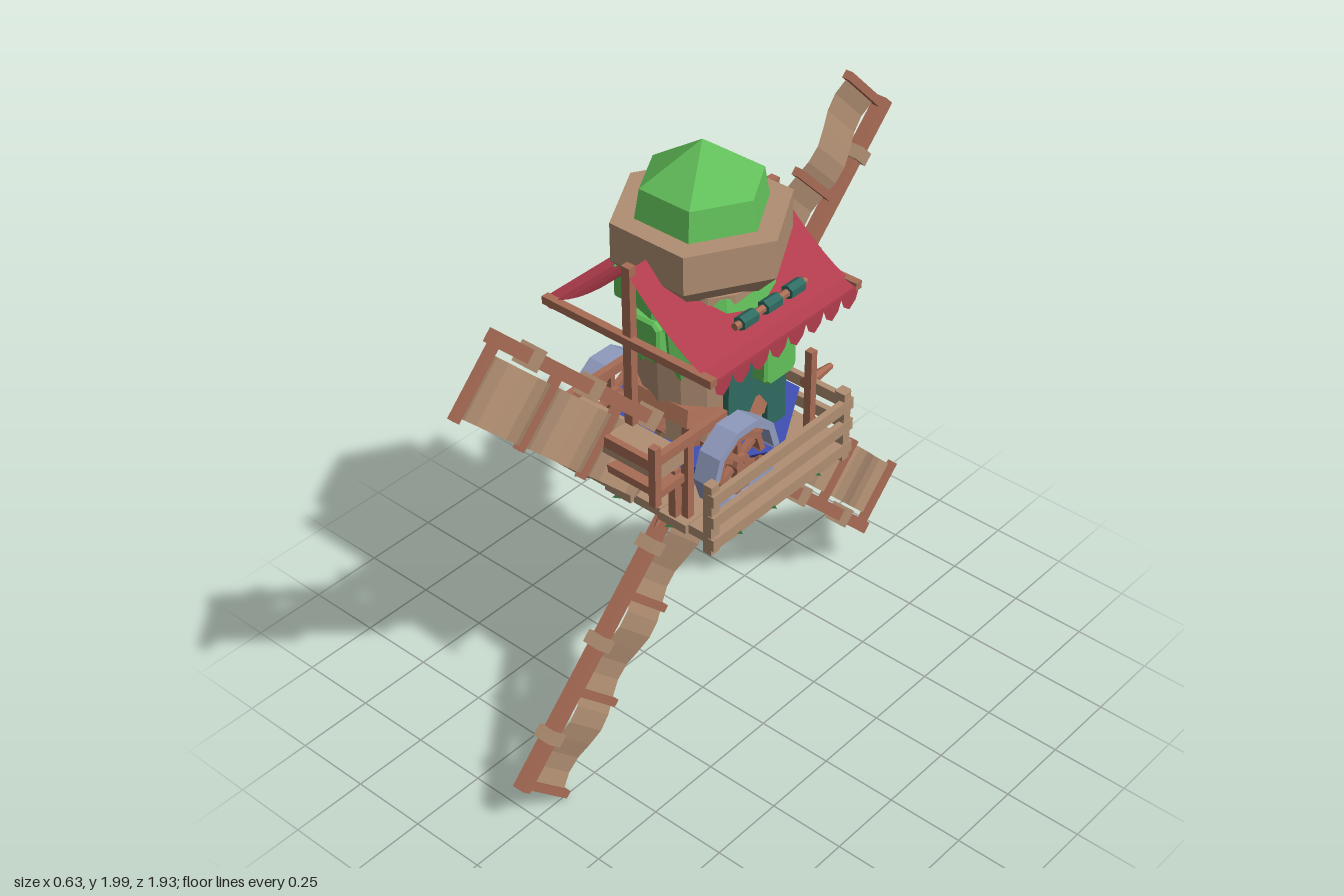
import * as THREE from 'three';

const mat = (name, color, side = THREE.FrontSide) => {
  const m = new THREE.MeshStandardMaterial({ color, flatShading: true, side });
  m.name = name;
  return m;
};

export function createModel() {
  const root = new THREE.Group();
  root.name = 'windmillHouse';
  const tan = mat('tan', 0xb08e72, THREE.DoubleSide);
  const wood = mat('wood', 0xa86c55);
  const green = mat('green', 0x62c05a);
  const leafGreen = mat('leafGreen', 0x2f6a38, THREE.DoubleSide);
  const red = mat('red', 0xb03c4c, THREE.DoubleSide);
  const blue = mat('blue', 0x4050b4);
  const steel = mat('steel', 0x8f9bbd, THREE.DoubleSide);
  const teal = mat('teal', 0x2f6b60);

  const add = (name, geo, m, x = 0, y = 0, z = 0, parent = root) => {
    const mesh = new THREE.Mesh(geo, m);
    mesh.name = name;
    mesh.position.set(x, y, z);
    parent.add(mesh);
    return mesh;
  };
  const box = (name, m, w, h, d, x, y, z, parent) =>
    add(name, new THREE.BoxGeometry(w, h, d), m, x, y, z, parent);
  const prism = (name, m, rTop, rBottom, y0, y1, sides, turn = 0) => {
    const g = new THREE.CylinderGeometry(rTop, rBottom, y1 - y0, sides);
    g.rotateY(turn);
    return add(name, g, m, 0, (y0 + y1) / 2, 0);
  };
  const hex = Math.PI / 6; // puts hexagon corners on the x axis

  // Tower, collar and domed top
  prism('tower', tan, 0.2, 0.18, 0.97, 1.62, 16);
  prism('towerFoot', wood, 0.21, 0.23, 1.2, 1.25, 6, hex);
  prism('towerBase', wood, 0.2, 0.19, 0.97, 1.2, 6, hex);
  prism('collarFlare', tan, 0.265, 0.2, 1.6, 1.67, 6, hex);
  prism('collar', tan, 0.265, 0.265, 1.67, 1.79, 6, hex);
  prism('domeWall', green, 0.18, 0.195, 1.79, 1.88, 6, hex);
  prism('domeCap', green, 0, 0.18, 1.88, 2.0, 6, hex);

  // Hanging foliage under the collar
  prism('foliageRing', green, 0.2, 0.22, 1.5, 1.61, 12);
  for (let i = 0; i < 8; i++) {
    const a = (i + 0.5) * Math.PI / 4;
    const g = new THREE.CylinderGeometry(0.055, 0.045, 0.1, 5);
    const tip = new THREE.ConeGeometry(0.045, 0.1, 5);
    tip.rotateX(Math.PI);
    const x = Math.sin(a) * 0.185, z = Math.cos(a) * 0.185;
    add('foliageDrop', g, green, x, 1.47, z);
    add('foliageTip', tip, green, x, 1.37, z);
  }

  // Chamfered green window boxes
  const shutter = (x, y, z, turn, w, h) => {
    const s = new THREE.Shape();
    const a = w / 2, b = h / 2, c = 0.015;
    [[-a + c, -b], [a - c, -b], [a, -b + c], [a, b - c], [a - c, b], [-a + c, b], [-a, b - c], [-a, -b + c]]
      .forEach(([u, v], i) => (i ? s.lineTo(u, v) : s.moveTo(u, v)));
    const g = new THREE.ExtrudeGeometry(s, { depth: 0.04, bevelEnabled: true, bevelSize: 0.008, bevelThickness: 0.008, bevelSegments: 1 });
    g.translate(0, 0, -0.02);
    add('windowBox', g, green, x, y, z).rotation.y = turn;
  };
  shutter(0.225, 1.38, -0.045, Math.PI / 2, 0.12, 0.13);
  shutter(-0.235, 1.48, 0.03, Math.PI / 2, 0.1, 0.12);
  shutter(-0.03, 1.46, 0.2, 0, 0.12, 0.12);

  // Doorway curtain
  box('doorCurtain', teal, 0.02, 0.33, 0.25, 0.195, 1.36, 0);
  box('doorCurtainTail', teal, 0.02, 0.1, 0.08, 0.195, 1.15, -0.085);

  // Tent roof with a sagging profile and scalloped hems
  const roofAt = (t) => 1.51 + 0.22 * Math.pow(Math.max(0, 1 - t), 1.5);
  const roof = new THREE.PlaneGeometry(0.62, 0.62, 14, 1);
  roof.rotateX(-Math.PI / 2);
  const rp = roof.attributes.position;
  for (let i = 0; i < rp.count; i++) rp.setY(i, roofAt(Math.abs(rp.getX(i)) / 0.31));
  roof.computeVertexNormals();
  add('roofCloth', roof, red);
  const hem = new THREE.Shape();
  hem.moveTo(-0.31, 0);
  for (let i = 0; i < 8; i++) {
    const z = -0.31 + i * 0.0775;
    hem.lineTo(z + 0.012, -0.045);
    hem.lineTo(z + 0.039, -0.065);
    hem.lineTo(z + 0.066, -0.045);
    hem.lineTo(z + 0.0775, -0.015);
  }
  hem.lineTo(0.31, 0);
  for (const s of [-1, 1]) add('roofHem', new THREE.ShapeGeometry(hem), red, s * 0.309, 1.515, 0).rotation.y = Math.PI / 2;

  // Roof frame
  for (const s of [-1, 1]) {
    box('ridgePost', wood, 0.03, 0.55, 0.025, 0, 1.47, s * 0.3);
    box('eavesBeam', wood, 0.62, 0.025, 0.025, 0, 1.51, s * 0.31);
    for (const x of [-0.18, 0.18]) box('framePost', wood, 0.025, 0.3, 0.025, x, 1.1, s * 0.27);
  }

  // Rolled awning lying on the roof
  const pole = (name, r, len, m, x, y, z) => {
    const g = new THREE.CylinderGeometry(r, r, len, 6);
    g.rotateX(Math.PI / 2);
    add(name, g, m, x, y, z);
  };
  pole('awningPole', 0.012, 0.3, wood, 0.245, 1.58, 0);
  for (const z of [-0.1, 0, 0.1]) pole('awningRoll', 0.022, 0.06, teal, 0.245, 1.58, z);

  // Plank deck
  for (let i = 0; i < 6; i++) {
    const len = 0.62 - (i % 2) * 0.02;
    box('deckPlank', tan, 0.1, 0.03, len, -0.26 + i * 0.104, 0.955, 0);
  }
  for (const z of [-0.2, 0.2]) box('deckBeam', tan, 0.5, 0.025, 0.06, 0.05, 0.928, z);

  // Leaves along the deck edges
  for (let side = 0; side < 4; side++) {
    for (const u of [-0.2, -0.05, 0.15]) {
      const g = new THREE.CircleGeometry(0.03, 3);
      g.rotateX(-Math.PI / 2);
      const a = side * Math.PI / 2;
      add('deckLeaf', g, leafGreen, Math.sin(a) * 0.295 + Math.cos(a) * u, 0.936, Math.cos(a) * 0.295 - Math.sin(a) * u);
    }
  }

  // Fences on the left and back edges
  for (const turn of [Math.PI / 2, Math.PI]) {
    const fence = new THREE.Group();
    fence.name = 'fence';
    for (const x of [-0.29, 0.29]) box('fencePost', tan, 0.035, 0.24, 0.03, x, 1.03, 0.285, fence);
    for (const y of [1.105, 1.03, 0.95]) box('fenceRail', tan, 0.62, 0.038, 0.02, 0, y, 0.3, fence);
    fence.rotation.y = turn;
    root.add(fence);
  }
  for (const x of [-0.15, 0.15]) {
    const peg = new THREE.CylinderGeometry(0.01, 0.022, 0.12, 6);
    peg.rotateX(-Math.PI / 2);
    add('backPeg', peg, wood, x, 1.11, -0.345);
  }

  // Blue tray on the deck
  prism('tray', blue, 0.3, 0.2, 1.0, 1.11, 6, hex);

  // Wheels on an axle
  const ring = (inner, outer, w) => {
    const p = [[inner, -w], [outer, -w], [outer, w], [inner, w], [inner, -w]].map(([r, h]) => new THREE.Vector2(r, h / 2));
    const g = new THREE.LatheGeometry(p, 10);
    g.rotateZ(Math.PI / 2);
    return g;
  };
  for (const s of [-1, 1]) {
    const wheel = new THREE.Group();
    wheel.name = 'wheel';
    wheel.position.set(s * 0.24, 1.115, 0.13);
    root.add(wheel);
    add('tyre', ring(0.118, 0.142, 0.075), steel, 0, 0, 0, wheel);
    add('innerRim', ring(0.08, 0.1, 0.04), wood, 0, 0, 0, wheel);
    add('hub', ring(0.005, 0.03, 0.05), wood, 0, 0, 0, wheel);
    for (let i = 0; i < 3; i++) box('spoke', wood, 0.02, 0.23, 0.018, 0, 0, 0, wheel).rotation.x = i * Math.PI / 3;
  }
  box('axle', wood, 0.5, 0.025, 0.025, 0, 1.115, 0.13);

  // Front balcony
  box('balconyFloor', tan, 0.38, 0.05, 0.11, 0, 1.2, 0.35);
  box('balconyApron', wood, 0.36, 0.025, 0.12, 0, 1.11, 0.33);
  box('balconyFront', wood, 0.4, 0.035, 0.02, 0, 1.235, 0.415);
  for (const s of [-1, 1]) {
    box('balconyPost', wood, 0.025, 0.2, 0.025, s * 0.19, 1.2, 0.415);
    box('balconyRail', wood, 0.022, 0.03, 0.5, s * 0.19, 1.25, 0.175);
    box('frontStand', wood, 0.025, 0.17, 0.025, s * 0.15, 1.05, 0.29);
  }
  box('frontStandBar', wood, 0.32, 0.025, 0.02, 0, 1.06, 0.29);

  // Four sails turning about the x axis
  for (let k = 0; k < 4; k++) {
    const blade = new THREE.Group();
    blade.name = 'sailBlade';
    blade.position.y = 0.975;
    blade.rotation.x = Math.PI / 4 + k * Math.PI / 2;
    root.add(blade);
    box('sailArm', wood, 0.04, 1.13, 0.04, 0, 0.575, 0, blade);
    add('armRoot', new THREE.CylinderGeometry(0.022, 0.05, 0.28, 6), wood, 0, 0.14, 0, blade);
    for (const r of [0.33, 0.65, 0.96]) box('armCollar', tan, 0.062, 0.04, 0.062, 0, r, 0, blade);
    for (const r of [0.49, 0.81, 1.12]) box('sailBar', wood, 0.024, 0.025, 0.25, 0, r, 0.11, blade);
    const cloth = new THREE.PlaneGeometry(0.182, 0.945, 1, 18);
    cloth.rotateY(-Math.PI / 2);
    cloth.translate(0, 0.64, 0.131);
    const p = cloth.attributes.position;
    for (let i = 0; i < p.count; i++) p.setX(i, 0.016 * Math.sin((p.getY(i) - 0.166) / 0.32 * Math.PI * 2));
    cloth.computeVertexNormals();
    add('sailCloth', cloth, tan, 0, 0, 0, blade);
  }
  return root;
}
